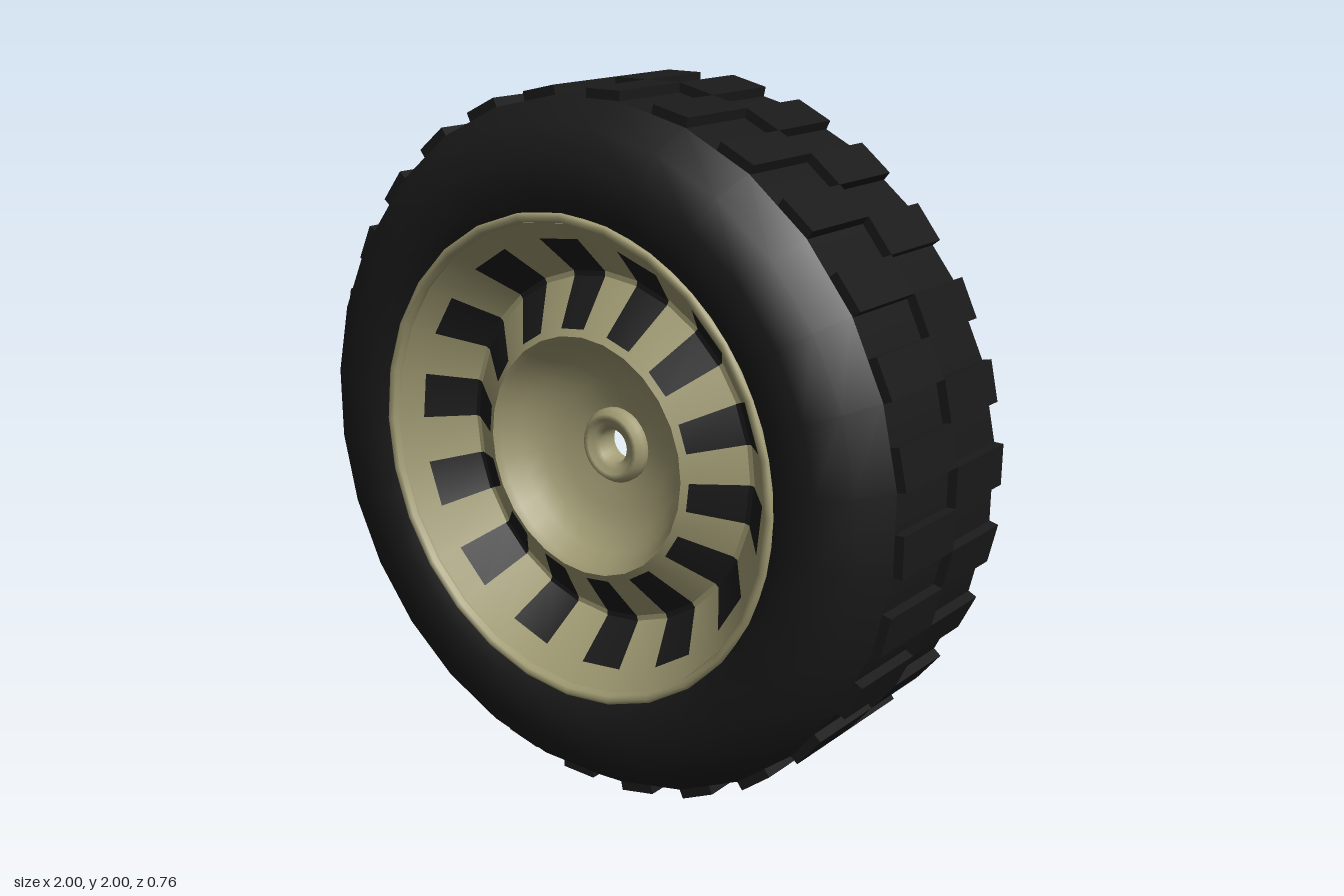
import * as THREE from 'three';

const SIDES = 28;
const STEP = (Math.PI * 2) / SIDES;

// Turn a [radius, z] profile around the wheel's z axis.
function turn(name, points, material, start = 0, sides = SIDES) {
  const profile = points.map(([r, z]) => new THREE.Vector2(r, z));
  const geometry = new THREE.LatheGeometry(profile, sides, start, sides * STEP);
  geometry.rotateX(Math.PI / 2);
  const mesh = new THREE.Mesh(geometry, material);
  mesh.name = name;
  return mesh;
}

export function createModel() {
  const rubber = new THREE.MeshStandardMaterial({ color: 0x1a1a1a });
  const paint = new THREE.MeshStandardMaterial({ color: 0xa09a72 });
  const sheet = new THREE.MeshStandardMaterial({ color: 0xa09a72, side: THREE.DoubleSide });

  const wheel = new THREE.Group();
  wheel.name = 'wheel';
  wheel.position.y = 1;

  // Tyre carcass: a rounder shoulder in front, a plain bevel behind
  const half = STEP / 2;
  wheel.add(
    turn('tyreCrown', [[0.98, -0.24], [0.98, 0.25]], rubber, half),
    turn('tyreFrontWall', [[0.98, 0.25], [0.92, 0.34], [0.83, 0.38], [0.73, 0.38], [0.68, 0.345]], rubber, half),
    turn('tyreBackWall', [[0.68, -0.345], [0.73, -0.38], [0.895, -0.38], [0.98, -0.24]], rubber, half),
  );

  // Two staggered rows of tread blocks
  const tread = new THREE.Group();
  tread.name = 'tread';
  const blockWidth = Math.tan(half);
  for (const [side, z, depth] of [[1, 0.125, 0.25], [-1, -0.12, 0.24]]) {
    const geometry = new THREE.BoxGeometry(blockWidth, 0.05, depth);
    geometry.translate((side * blockWidth) / 2, 0.975, z);
    for (let i = 0; i < SIDES; i++) {
      const block = new THREE.Mesh(geometry, rubber);
      block.name = 'treadBlock';
      block.rotation.z = i * STEP;
      tread.add(block);
    }
  }
  wheel.add(tread);

  // Rim barrel and its two lips
  wheel.add(
    turn('rimBarrel', [[0.66, -0.35], [0.66, 0.345]], sheet),
    turn('frontLip', [[0.69, 0.33], [0.688, 0.36], [0.678, 0.366], [0.665, 0.36], [0.66, 0.34]], paint),
    turn('backLip', [[0.66, -0.34], [0.665, -0.36], [0.678, -0.366], [0.688, -0.36], [0.69, -0.33]], paint),
  );

  // Pressed disc: outer cone, valley, raised ring and dished centre
  wheel.add(
    turn('outerCone', [[0.665, 0.345], [0.505, 0.175]], sheet),
    turn('valley', [[0.505, 0.175], [0.49, 0.175]], sheet),
    turn('raisedRing', [[0.49, 0.175], [0.34, 0.28]], sheet),
    turn('dish', [[0.34, 0.28], [0.325, 0.265], [0.295, 0.215], [0.25, 0.175], [0.19, 0.145], [0.1, 0.125]], sheet),
  );

  // Hub collar with a through hole
  wheel.add(
    turn('hubCollar', [
      [0.05, 0.085], [0.075, 0.08], [0.095, 0.09], [0.108, 0.115], [0.108, 0.145], [0.095, 0.165],
      [0.08, 0.165], [0.07, 0.15], [0.05, 0.15], [0.05, 0.085],
    ], paint),
  );

  // Dark stripes painted over the cone and the ring
  const stripes = new THREE.Group();
  stripes.name = 'stripes';
  const lift = 0.004;
  for (let i = 0; i < SIDES; i += 2) {
    const start = Math.PI + i * STEP;
    stripes.add(
      turn('coneStripe', [[0.61, 0.287 + lift], [0.505, 0.175 + lift]], rubber, start, 1),
      turn('valleyStripe', [[0.505, 0.175 + lift], [0.49, 0.175 + lift]], rubber, start, 1),
      turn('ringStripe', [[0.49, 0.175 + lift], [0.36, 0.266 + lift]], rubber, start, 1),
    );
  }
  wheel.add(stripes);

  const model = new THREE.Group();
  model.name = 'model';
  model.add(wheel);
  return model;
}
